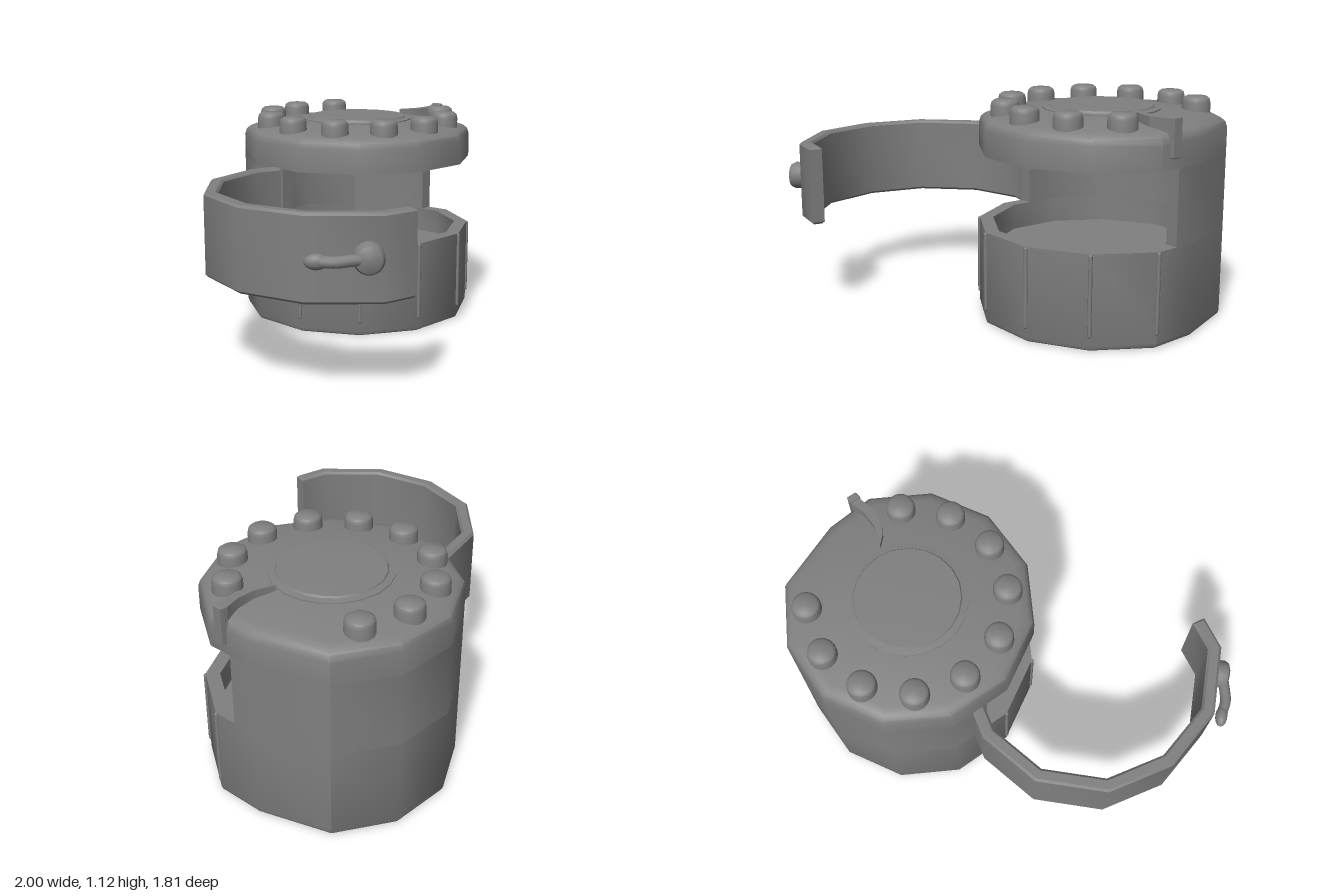
import * as THREE from 'three';
import { toCreasedNormals } from 'three/addons/utils/BufferGeometryUtils.js';

const SIDES = 12;
const STEP = Math.PI / 6;
const R = 0.627; // outer corner radius of the twelve-sided body
const RI = 0.555; // inner corner radius
const material = new THREE.MeshStandardMaterial({ color: 0x808080 });

function add(parent, name, geometry, crease) {
  const mesh = new THREE.Mesh(crease ? toCreasedNormals(geometry, crease) : geometry, material);
  mesh.name = name;
  parent.add(mesh);
  return mesh;
}

// Turned part from [radius, y] pairs
function turned(profile, sides = 20, start = 0) {
  const pts = profile.map(([r, y]) => new THREE.Vector2(r, y));
  return new THREE.LatheGeometry(pts, sides, start);
}

// The body is uneven: its corner just behind the left side sits further forward
function placeCorner(x, z) {
  const uneven = Math.abs(Math.atan2(x, z) - STEP * 3.5) < 0.01;
  return uneven ? [x * 0.963, z * 0.556] : [x, z];
}

// Turned twelve-sided part of the body
function turnedBody(profile) {
  const g = turned(profile, SIDES, STEP / 2);
  const p = g.attributes.position;
  for (let i = 0; i < p.count; i++) {
    const [x, z] = placeCorner(p.getX(i), p.getZ(i));
    p.setXYZ(i, x, p.getY(i), z);
  }
  return g;
}

// Upright prism from a plan outline of [x, z] pairs
function prism(outline, y0, y1, bevel = 0) {
  const shape = new THREE.Shape(outline.map(([x, z]) => new THREE.Vector2(x, -z)));
  const g = new THREE.ExtrudeGeometry(shape, {
    depth: y1 - y0 - 2 * bevel, bevelEnabled: bevel > 0,
    bevelSize: bevel, bevelThickness: bevel, bevelOffset: -bevel, bevelSegments: 1,
  });
  return g.rotateX(-Math.PI / 2).translate(0, y0 + bevel, 0);
}

// Plan outline of a strip of even thickness following a path
function strip(path, thickness) {
  const p = path.map(([x, z]) => new THREE.Vector2(x, z));
  const side = (s) => p.map((v, i) => {
    const a = p[Math.max(i - 1, 0)], b = p[Math.min(i + 1, p.length - 1)];
    const d1 = (i > 0 ? v.clone().sub(a) : b.clone().sub(v)).normalize();
    const d2 = (i < p.length - 1 ? b.clone().sub(v) : d1.clone()).normalize();
    const m = d1.clone().add(d2).normalize();
    const k = s * thickness / 2 / m.dot(d1);
    return [v.x - m.y * k, v.y + m.x * k];
  });
  return [...side(1), ...side(-1).reverse()];
}

// Plan corners of the rear wall, cut just in front of the centre line
function rearArc(r) {
  const pts = [[r * 0.949, 0.04]];
  for (let i = 0; i < 6; i++) {
    const a = Math.PI / 2 + STEP * (i + 0.5);
    pts.push(placeCorner(r * Math.sin(a), r * Math.cos(a)));
  }
  return [...pts, [-r * Math.cos(STEP / 2), 0.04]];
}

export function createModel() {
  const model = new THREE.Group();
  const body = new THREE.Group();
  body.name = 'body';
  body.position.set(0.38, 0, -0.3);
  model.add(body);

  // Lower cup with a thin floor, hollow underneath
  add(body, 'lowerCup', turnedBody([
    [0, 0.34], [0.54, 0.34], [0.57, 0.02], [0.58, 0], [0.605, 0], [0.62, 0.008], [R, 0.025],
    [R, 0.48], [RI, 0.48], [RI, 0.345], [0, 0.345],
  ]), 0.65);

  // Rear half of the wall, flush with the cup and top
  add(body, 'rearWall', prism([...rearArc(R), ...rearArc(RI).reverse()], 0.48, 0.86), 0.65);

  // Top with rounded shoulder and shallow slope
  add(body, 'top', turnedBody([
    [0, 0.98], [RI, 0.98], [RI, 0.86], [R, 0.86], [R, 0.985],
    [0.617, 1.015], [0.595, 1.033], [0.555, 1.043], [0.3, 1.073], [0, 1.073],
  ]), 0.65);

  // Round plate in the middle of the top
  add(body, 'centrePlate', turned([
    [0.3, 1.06], [0.3, 1.077], [0.268, 1.081], [0.262, 1.09], [0, 1.097],
  ]), 0.65);

  // Ten knobs around the top, leaving a gap on the left
  for (let i = 0; i < 10; i++) {
    const a = STEP * (i + 5);
    const knob = add(body, 'knob', turned([
      [0.073, 1.02], [0.072, 1.09], [0.067, 1.11], [0.052, 1.121], [0, 1.123],
    ]), 0.7);
    knob.position.set(0.49 * Math.sin(a), 0, 0.49 * Math.cos(a));
  }

  // Thin ribs on the front corners of the cup
  for (let i = -3; i < 3; i++) {
    const a = STEP * (i + 0.5);
    const rib = add(body, 'rib', new THREE.CapsuleGeometry(0.01, 0.39, 3, 8));
    rib.position.set(R * Math.sin(a), 0.275, R * Math.cos(a));
  }

  // Pointed catch lying on the top, with its hook over the edge
  add(model, 'catchBlade', prism([
    [0.685, -0.255], [0.79, -0.22], [0.88, -0.22], [0.98, -0.25],
    [0.98, -0.2], [0.86, -0.17], [0.78, -0.185], [0.73, -0.21],
  ], 1.03, 1.1), 0.4);
  add(model, 'catchHook', prism([
    [0.965, -0.25], [1, -0.245], [1, -0.195], [0.965, -0.19],
  ], 0.915, 1.11, 0.005), 0.4);

  // Open curved door
  const door = new THREE.Group();
  door.name = 'door';
  model.add(door);
  const path = [
    [-0.17, -0.295], [-0.355, -0.34], [-0.66, -0.265], [-0.895, -0.025],
    [-0.966, 0.285], [-0.885, 0.6], [-0.65, 0.835], [-0.487, 0.863],
  ];
  add(door, 'doorPanel', prism(strip(path, 0.066), 0.46, 0.866, 0.012), 0.65);

  // Latch: domed boss facing outward and a bent lever with a paddle end
  const boss = add(door, 'latchBoss', turned([
    [0.07, -0.03], [0.07, 0.03], [0.06, 0.05], [0.035, 0.06], [0, 0.064],
  ]), 0.7);
  boss.position.set(-0.73, 0.675, 0.828);
  boss.quaternion.setFromUnitVectors(new THREE.Vector3(0, 1, 0), new THREE.Vector3(-1, 0, 1).normalize());
  const curve = new THREE.CatmullRomCurve3([
    [-0.72, 0.675, 0.86], [-0.8, 0.675, 0.815], [-0.87, 0.67, 0.768], [-0.905, 0.67, 0.72], [-0.93, 0.67, 0.69],
  ].map((p) => new THREE.Vector3(...p)));
  add(door, 'latchLever', new THREE.TubeGeometry(curve, 16, 0.027, 10));
  const paddle = add(door, 'leverPaddle', new THREE.SphereGeometry(0.036, 14, 10));
  paddle.position.set(-0.92, 0.67, 0.7);
  paddle.scale.set(1.5, 1, 0.85);
  paddle.rotation.y = -Math.PI / 4;
  return model;
}
